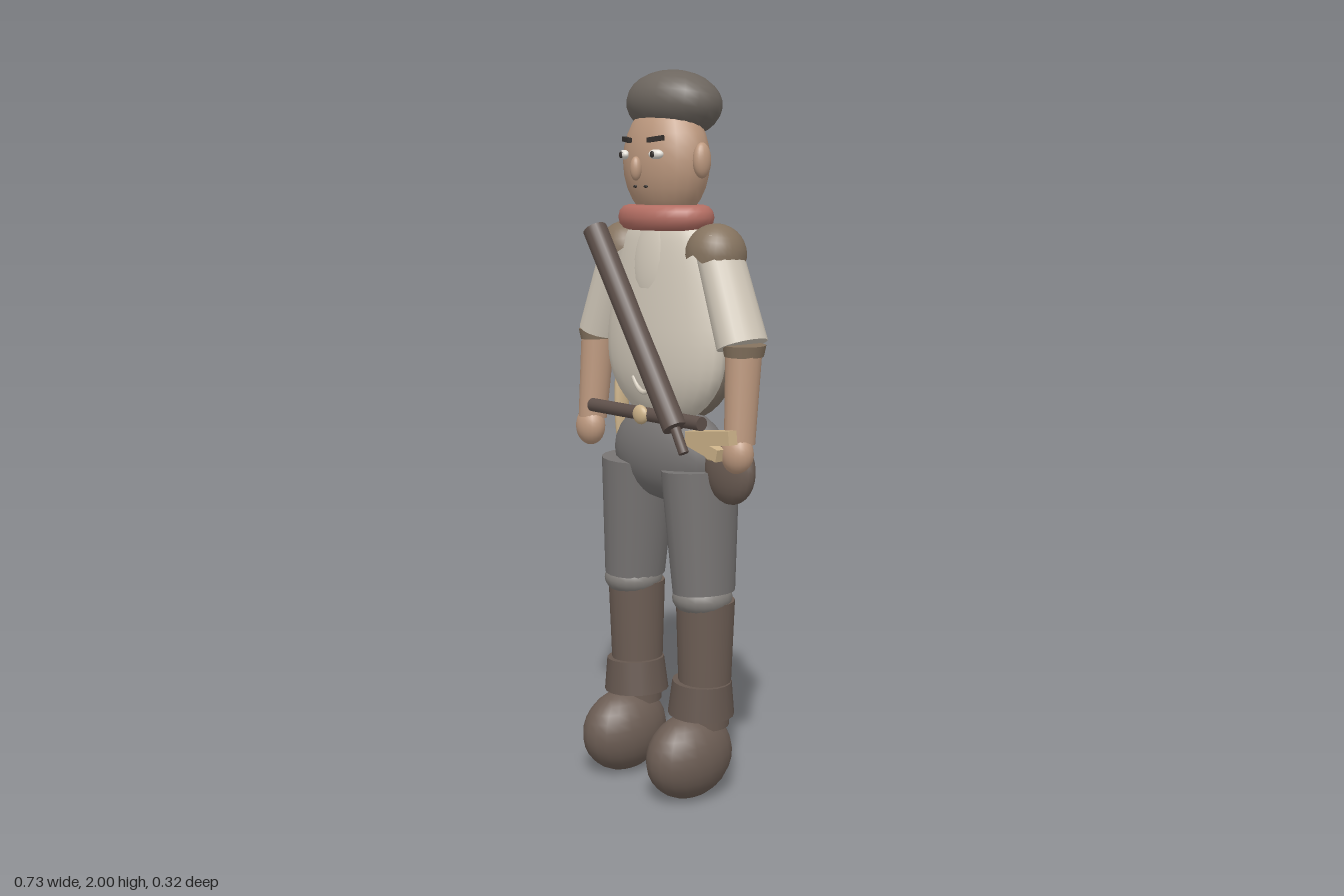
import * as THREE from 'three';

const mat = (color) => new THREE.MeshStandardMaterial({ color, side: THREE.DoubleSide });

export function createModel() {
  const group = new THREE.Group();
  const M = {
    skin: mat(0xbd997f), shirt: mat(0xd3cabb), vest: mat(0x85786a), trousers: mat(0x777473),
    knee: mat(0x85817d), boot: mat(0x6c5d54), cuff: mat(0x665850), hat: mat(0x6d665f),
    scarf: mat(0xb56f64), gun: mat(0x5e504a), wood: mat(0xccb289), pad: mat(0x85735f),
    white: mat(0xe4e0d8), dark: mat(0x35302d),
  };
  const V = (p) => new THREE.Vector3(...p);

  function add(name, geo, material, p = [0, 0, 0], s = [1, 1, 1], r = [0, 0, 0]) {
    const mesh = new THREE.Mesh(geo, material);
    mesh.name = name;
    mesh.position.set(...p);
    mesh.scale.set(...s);
    mesh.rotation.set(...r);
    group.add(mesh);
    return mesh;
  }
  const ball = (name, material, p, s, r) => add(name, new THREE.SphereGeometry(1, 20, 14), material, p, s, r);

  // Tapered round bar from a (radius ra) to b (radius rb), with its depth scaled
  function limb(name, material, a, b, ra, rb, depth = 1) {
    const from = V(a), to = V(b), dir = to.clone().sub(from);
    const mesh = add(name, new THREE.CylinderGeometry(rb, ra, dir.length(), 18), material);
    mesh.position.copy(from).add(to).multiplyScalar(0.5);
    mesh.quaternion.setFromUnitVectors(new THREE.Vector3(0, 1, 0), dir.normalize());
    mesh.scale.z = depth;
    return mesh;
  }

  // Egg-shaped body shell
  const egg = (name, material, points, z, depth) => {
    const curve = new THREE.SplineCurve(points.map((p) => new THREE.Vector2(...p)));
    const profile = curve.getPoints(24).map((p) => new THREE.Vector2(Math.max(p.x, 0), p.y));
    return add(name, new THREE.LatheGeometry(profile, 24), material, [0, 0, z], [1, 1, depth]);
  };

  // Torso
  const body = [[0, 1.04], [0.12, 1.07], [0.205, 1.15], [0.232, 1.25], [0.215, 1.38], [0.175, 1.52], [0.12, 1.59], [0, 1.62]];
  egg('shirt', M.shirt, body, -0.012, 0.37);
  egg('vestBack', M.vest, body.map(([x, y]) => [x * 0.97, y]), -0.056, 0.465);
  ball('shirtPlacket', M.shirt, [0, 1.49, 0.035], [0.075, 0.12, 0.027], [-0.12, 0, 0]);
  const fold = new THREE.QuadraticBezierCurve3(V([-0.05, 1.17, 0.062]), V([0, 1.09, 0.068]), V([0.05, 1.17, 0.062]));
  add('bellyFold', new THREE.TubeGeometry(fold, 10, 0.007, 6), M.shirt);
  ball('hips', M.trousers, [0, 0.955, -0.03], [0.217, 0.137, 0.1]);

  // Head
  ball('neck', M.skin, [0, 1.61, -0.015], [0.08, 0.08, 0.06]);
  ball('head', M.skin, [0, 1.755, -0.014], [0.14, 0.165, 0.1]);
  ball('nose', M.skin, [0, 1.735, 0.092], [0.016, 0.032, 0.016]);
  ball('cap', M.hat, [0, 1.907, -0.042], [0.15, 0.09, 0.116], [-0.18, 0, 0]);
  add('scarf', new THREE.TorusGeometry(0.122, 0.036, 12, 28), M.scarf,
    [0, 1.605, -0.013], [1, 0.68, 0.95], [Math.PI / 2, 0, 0]);

  for (const s of [-1, 1]) {
    const side = s > 0 ? 'left' : 'right';
    const name = (part) => side + part;

    // Face details
    ball(name('Ear'), M.skin, [s * 0.146, 1.756, -0.014], [0.021, 0.047, 0.027]);
    ball(name('Eye'), M.white, [s * 0.067, 1.772, 0.078], [0.022, 0.013, 0.013], [0, s * 0.35, 0]);
    ball(name('Pupil'), M.dark, [s * 0.065, 1.772, 0.09], [0.008, 0.009, 0.004]);
    add(name('Eyebrow'), new THREE.BoxGeometry(0.048, 0.013, 0.012), M.dark,
      [s * 0.06, 1.812, 0.074], [1, 1, 1], [0, s * 0.35, s * 0.12]);
    ball(name('MouthCorner'), M.dark, [s * 0.022, 1.688, 0.076], [0.007, 0.004, 0.005]);

    // Arm
    limb(name('Sleeve'), M.shirt, [s * 0.19, 1.55, -0.026], [s * 0.295, 1.277, -0.026], 0.055, 0.062, 1.2);
    limb(name('ArmBand'), M.pad, [s * 0.308, 1.25, -0.02], [s * 0.309, 1.28, -0.02], 0.047, 0.052, 1.2);
    limb(name('Forearm'), M.skin, [s * 0.315, 1.02, 0], [s * 0.309, 1.265, -0.018], 0.039, 0.046, 1.1);
    ball(name('Hand'), M.skin, [s * 0.315, 0.995, 0.008], [0.048, 0.056, 0.04]);

    // Shoulder pad with a scalloped rim
    const dome = new THREE.SphereGeometry(1, 32, 8, 0, Math.PI * 2, 0, Math.PI * 0.53);
    const pos = dome.attributes.position;
    for (let i = 0; i < pos.count; i++) {
      const y = pos.getY(i);
      if (y < 0.1) pos.setY(i, y + 0.1 * Math.cos(8 * Math.atan2(pos.getZ(i), pos.getX(i))));
    }
    dome.computeVertexNormals();
    add(name('ShoulderPad'), dome, M.pad, [s * 0.188, 1.51, -0.028], [0.083, 0.082, 0.082], [0, 0, -s * 0.15]);

    // Leg
    limb(name('Thigh'), M.trousers, [s * 0.15, 0.585, -0.024], [s * 0.13, 0.925, -0.026], 0.08, 0.1, 1.14);
    ball(name('Knee'), M.knee, [s * 0.15, 0.57, -0.018], [0.082, 0.055, 0.085]);
    limb(name('BootShaft'), M.boot, [s * 0.147, 0.2, -0.03], [s * 0.15, 0.56, -0.03], 0.068, 0.08, 1.04);
    limb(name('BootCuff'), M.cuff, [s * 0.142, 0.235, -0.022], [s * 0.146, 0.33, -0.022], 0.093, 0.083);
    ball(name('Foot'), M.boot, [s * 0.143, 0.12, 0.022], [0.094, 0.12, 0.138], [0.08, 0, 0]);
  }

  // Belt rod and buckle
  limb('belt', M.gun, [-0.235, 1.07, 0.062], [0.235, 1.07, 0.062], 0.019, 0.019);
  ball('buckle', M.wood, [0, 1.07, 0.078], [0.029, 0.027, 0.015]);

  // Long gun slung across the chest, with a hollow upper end
  limb('gunBarrel', M.gun, [0.17, 1.055, 0.1], [-0.19, 1.57, 0.084], 0.033, 0.034);
  limb('gunBore', M.dark, [-0.18, 1.556, 0.084], [-0.1915, 1.5725, 0.084], 0.018, 0.018);
  limb('gunTip', M.gun, [0.2, 0.99, 0.094], [0.155, 1.07, 0.094], 0.014, 0.014);

  // Pistol: stock, grip and guard
  add('pistolStock', new THREE.BoxGeometry(0.17, 0.038, 0.03), M.wood, [0.26, 1.035, 0.052], [1, 1, 1], [0, 0, 0.12]);
  add('pistolGrip', new THREE.BoxGeometry(0.13, 0.034, 0.03), M.wood, [0.235, 1.008, 0.052], [1, 1, 1], [0, 0, -0.25]);
  add('pistolGuard', new THREE.TorusGeometry(0.017, 0.005, 6, 14), M.wood, [0.255, 0.995, 0.052]);

  // Side pouch and sheathed dagger
  ball('pouch', M.boot, [0.268, 0.945, -0.01], [0.09, 0.096, 0.042]);
  ball('dagger', M.wood, [-0.229, 1.06, -0.04], [0.014, 0.15, 0.025], [0, 0, 0.03]);

  return group;
}
